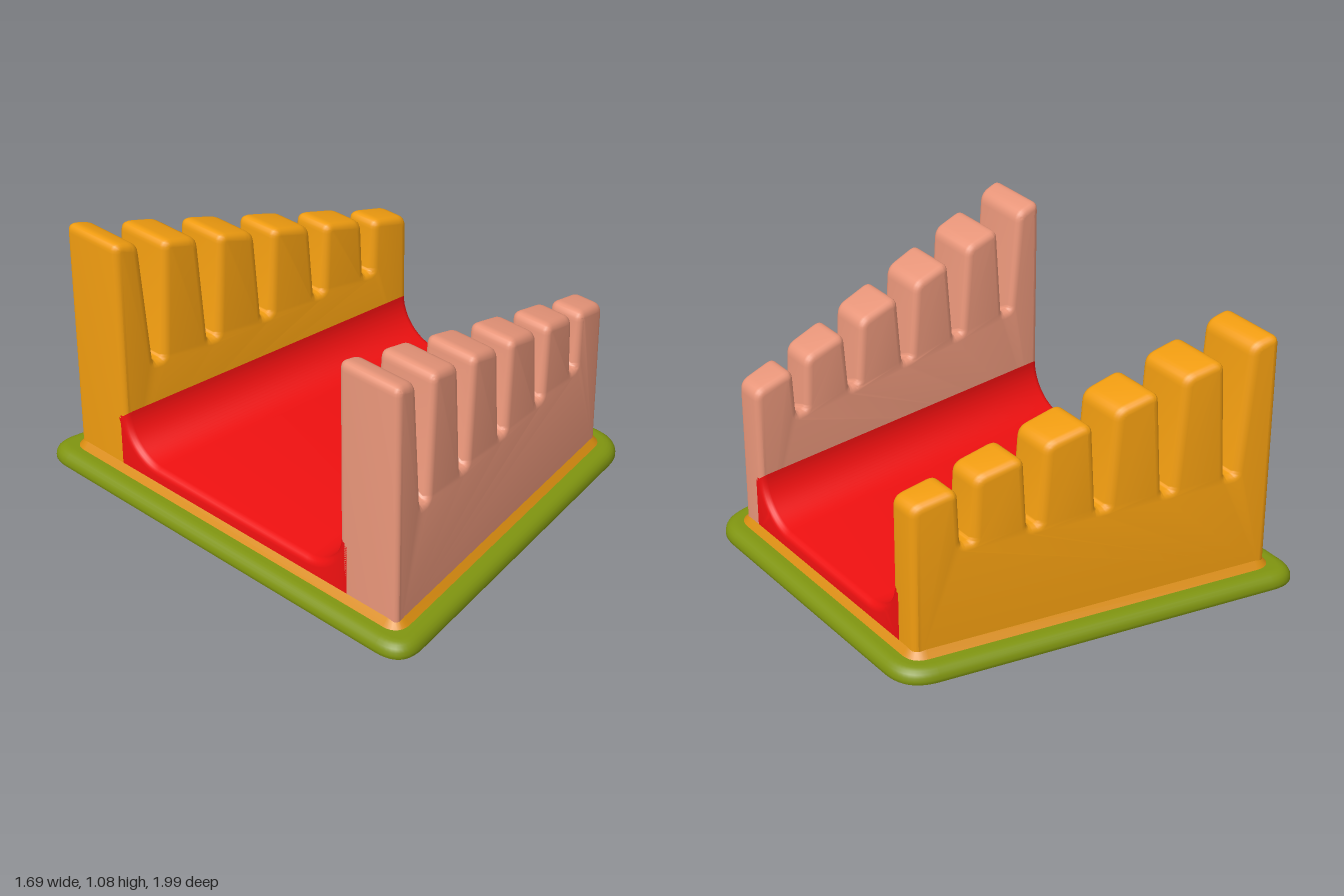
import * as THREE from 'three';
import { toCreasedNormals } from 'three/addons/utils/BufferGeometryUtils.js';

const HALF = 0.745;   // half length of the body along x
const BEVEL = 0.03;
const outer = x => 0.75 - 0.195 * x;   // outside of the walls
const inner = x => 0.53 - 0.09 * x;    // inside of the walls

// Closed outline with rounded corners; points are [x, y, trim]
function rounded(points) {
  const shape = new THREE.Shape();
  const n = points.length;
  points.forEach(([x, y, r], i) => {
    const toward = ([px, py]) => {
      const len = Math.hypot(px - x, py - y);
      return [x + (px - x) * r / len, y + (py - y) * r / len];
    };
    const a = toward(points[(i + n - 1) % n]);
    const b = toward(points[(i + 1) % n]);
    if (i === 0) shape.moveTo(...a); else shape.lineTo(...a);
    if (r > 0) shape.quadraticCurveTo(x, y, ...b);
  });
  shape.closePath();
  return shape;
}

// Moves every vertex by a rule
function remap(geometry, rule) {
  const p = geometry.attributes.position;
  for (let i = 0; i < p.count; i++) {
    p.setXYZ(i, ...rule(p.getX(i), p.getY(i), p.getZ(i)));
  }
  return geometry;
}

function part(name, geometry, color) {
  const mesh = new THREE.Mesh(toCreasedNormals(geometry, 0.7), new THREE.MeshStandardMaterial({ color }));
  mesh.name = name;
  return mesh;
}

// Tapered plan outline, grown outward by d
function footprint(d, r) {
  const l = outer(-HALF - d) + d * 1.02, s = outer(HALF + d) + d * 1.02, x = HALF + d;
  return rounded([[-x, -l, r], [x, -s, r], [x, s, r], [-x, l, r]]);
}

// Wall outline: six teeth with narrow V slots between them
function wallShape() {
  const teeth = [
    [-HALF, 1.09, -0.63, 1.06], [-0.515, 1.028, -0.35, 0.99], [-0.245, 0.962, -0.07, 0.915],
    [0.025, 0.892, 0.215, 0.845], [0.3, 0.82, 0.495, 0.775], [0.56, 0.75, HALF, 0.712],
  ];
  const slots = [-0.565, -0.295, -0.02, 0.26, 0.528];
  const pts = [[-HALF, 0.03, 0]];
  teeth.forEach(([x0, y0, x1, y1], i) => {
    pts.push([x0, y0, 0.045], [x1, y1, 0.045]);
    if (i < slots.length) pts.push([slots[i] - 0.022, 0.51, 0.015], [slots[i] + 0.022, 0.51, 0.015]);
  });
  pts.push([HALF, 0.03, 0]);
  return rounded(pts.reverse());
}

// Wall that narrows along x; slot floors may climb toward the inside
function wall(front) {
  const geometry = new THREE.ExtrudeGeometry(wallShape(), {
    depth: 1, curveSegments: 6,
    bevelSize: BEVEL, bevelThickness: BEVEL, bevelOffset: -BEVEL, bevelSegments: 4,
  });
  return remap(geometry, (x, y, z) => {
    const low = front ? inner(x) : -outer(x);
    const high = front ? outer(x) : -inner(x);
    const climb = front && z < 0.5 && y > 0.4 && y < 0.56 ? 0.075 - 0.07 * x : 0;
    return [x, y + climb, z < 0.5 ? low + z + BEVEL : high - (1 + BEVEL - z)];
  });
}

// Floor with a large cove rising into each wall
function floor() {
  const w = 0.53, r = 0.18, y = 0.15, e = 0.6;
  const shape = new THREE.Shape();
  shape.moveTo(-e, 0.03);
  shape.lineTo(e, 0.03);
  shape.lineTo(e, y + r);
  shape.lineTo(w, y + r);
  shape.absarc(w - r, y + r, r, 0, -Math.PI / 2, true);
  shape.lineTo(r - w, y);
  shape.absarc(r - w, y + r, r, -Math.PI / 2, -Math.PI, true);
  shape.lineTo(-e, y + r);
  shape.closePath();
  const geometry = new THREE.ExtrudeGeometry(shape, {
    depth: 2 * (HALF - BEVEL), curveSegments: 10,
    bevelSize: BEVEL, bevelThickness: BEVEL, bevelOffset: -BEVEL, bevelSegments: 4,
  });
  geometry.rotateY(Math.PI / 2).translate(BEVEL - HALF, 0, 0);
  return remap(geometry, (x, py, z) => [x, py, z + Math.sign(z) * (inner(x) - w)]);
}

// Flat-bottomed plate with a rounded upper rim
function base() {
  const geometry = new THREE.ExtrudeGeometry(footprint(0.1, 0.14), {
    depth: 0.01, curveSegments: 10,
    bevelSize: 0.05, bevelThickness: 0.045, bevelOffset: -0.05, bevelSegments: 5,
  });
  geometry.rotateX(-Math.PI / 2).translate(0, 0.005, 0);
  return remap(geometry, (x, y, z) => [x, Math.max(0, y), z]);
}

// Sloping skirt where the body meets the plate
function skirt() {
  const geometry = new THREE.ExtrudeGeometry(footprint(-0.004, 0.045), {
    depth: 0.02, curveSegments: 6,
    bevelSize: 0.03, bevelThickness: 0.035, bevelSegments: 1,
  });
  return geometry.rotateX(-Math.PI / 2).translate(0, 0.038, 0);
}

export function createModel() {
  const group = new THREE.Group();
  group.name = 'toothedHolder';
  group.add(
    part('basePlate', base(), 0x7f9410),
    part('baseSkirt', skirt(), 0xd98c10),
    part('floor', floor(), 0xee1010),
    part('frontWall', wall(true), 0xe9967a),
    part('rearWall', wall(false), 0xf09c10),
  );
  return group;
}
